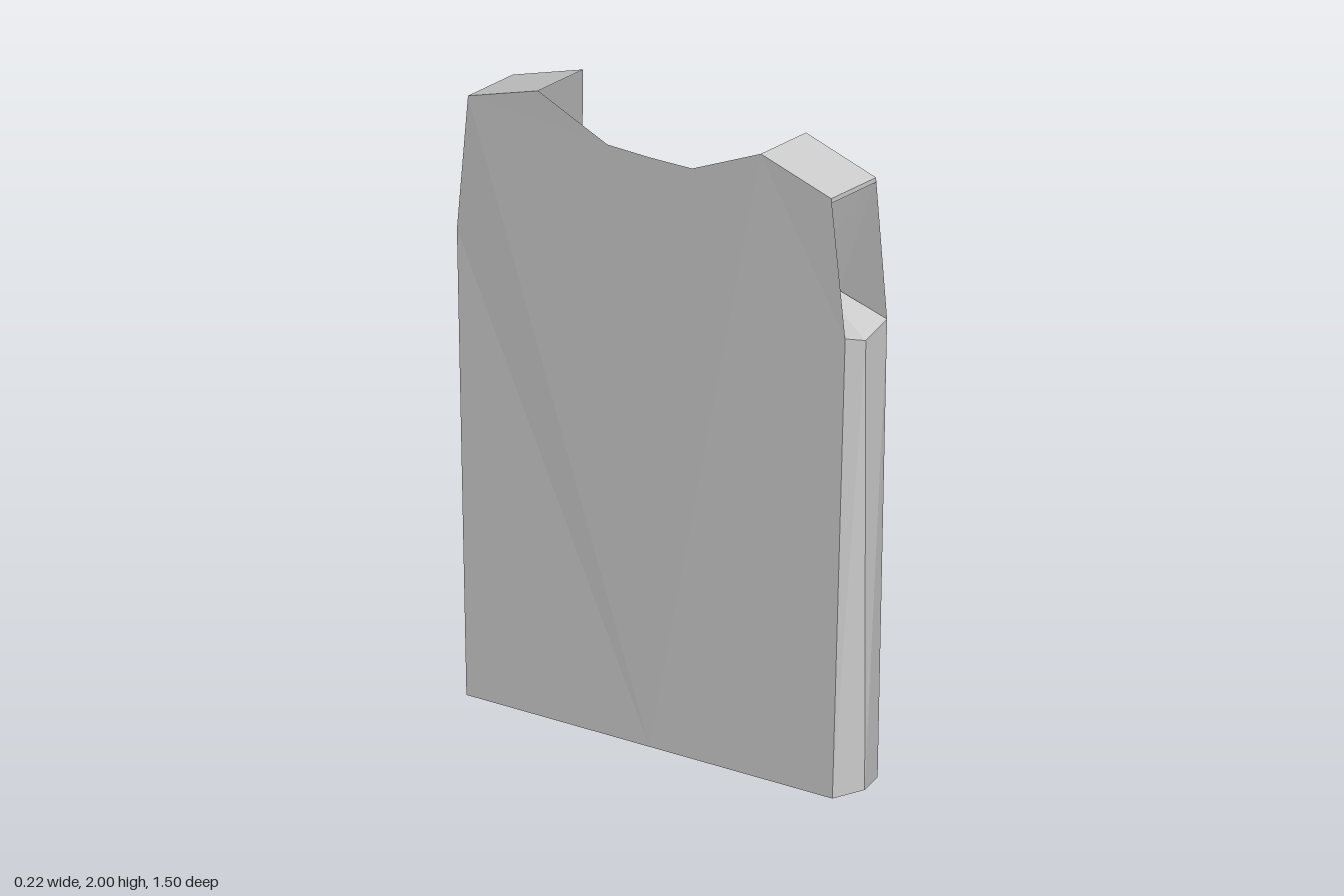
import * as THREE from 'three';

const cloth = new THREE.MeshStandardMaterial({ color: 0xcccccc, side: THREE.DoubleSide, flatShading: true });
cloth.name = 'grey cloth';

// half thickness of the vest at a given height
const halfX = y => (y < 1.48 ? 0.11 - 0.008 * y / 1.48 : 0.102 + 0.008 * (y - 1.48) / 0.52);

function mesh(name, geometry) {
  geometry.computeVertexNormals();
  const m = new THREE.Mesh(geometry, cloth);
  m.name = name;
  return m;
}

// flat-sided surface between two matching rows of points
function loft(name, a, b) {
  const pos = [];
  for (let i = 0; i < a.length - 1; i++) {
    pos.push(...a[i], ...a[i + 1], ...b[i + 1]);
    if (b[i] !== b[i + 1]) pos.push(...a[i], ...b[i + 1], ...b[i]);
  }
  const g = new THREE.BufferGeometry();
  g.setAttribute('position', new THREE.Float32BufferAttribute(pos, 3));
  return mesh(name, g);
}

// a cloth panel, symmetric in z, given by its half outline as [z, y]
function panel(name, half, side) {
  const mirrored = half.filter(p => p[0] > 0).map(([z, y]) => [-z, y]).reverse();
  const shape = new THREE.Shape([...half, ...mirrored].map(p => new THREE.Vector2(...p)));
  const g = new THREE.ShapeGeometry(shape);
  g.rotateY(side * Math.PI / 2);
  const p = g.attributes.position;
  for (let i = 0; i < p.count; i++) p.setX(i, side * halfX(p.getY(i)));
  return mesh(name, g);
}

export function createModel() {
  const group = new THREE.Group();
  group.name = 'vest';

  // large panels: low neckline on +x, high neckline on -x
  const outer = [[0.69, 0], [0.732, 1.48], [0.685, 1.92], [0.42, 2]];
  const lowNeck = [[0.42, 1.565], [0.18, 1.475], [0, 1.43]];
  group.add(panel('lowNeckPanel', [[0, 0], ...outer, ...lowNeck], 1));
  group.add(panel('highNeckPanel', [[0, 0], ...outer, [0.16, 1.89], [0, 1.887]], -1));

  const hem = s => [[-0.11, 0, s * 0.69], [-0.02, 0.012, s * 0.742], [0.11, 0, s * 0.69]];
  group.add(loft('hemFloor', hem(1), hem(-1)));

  for (const s of [1, -1]) {
    // pointed side wall and the cap under the armhole
    const rim = [[-0.102, 1.48, s * 0.732], [-0.025, 1.455, s * 0.75], [0.102, 1.48, s * 0.732]];
    const corner = [0.102, 1.565, s * 0.42];
    group.add(loft('sideWall', hem(s), rim));
    group.add(loft('armholeCap', rim, [corner, corner, corner]));
    group.add(loft('neckCorner', [rim[0], [0, 1.52, s * 0.42]], [corner, corner]));

    // shoulder strap with a narrow turned-down edge
    const inner = [[-0.11, 2, s * 0.42], [0.11, 2, s * 0.42]];
    const end = [[-0.109, 1.92, s * 0.685], [0.109, 1.92, s * 0.685]];
    const turned = end.map(([x, , z]) => [x, 1.905, z]);
    group.add(loft('shoulderStrap', inner, end));
    group.add(loft('strapEdge', end, turned));
  }

  // lip inside the low neckline, and the sloping lining behind it
  const both = half => [...half, ...half.slice(0, -1).map(([z, y]) => [-z, y]).reverse()];
  const edge = both(lowNeck).map(([z, y]) => [0.102, y, z]);
  const lip = both([[0.42, 1.52], [0.18, 1.48], [0, 1.45]]).map(([z, y]) => [0, y, z]);
  group.add(loft('neckLip', edge, lip));
  const liningTop = lip.map(([, y, z]) => [-0.102, y - 0.08, z]);
  group.add(loft('neckLining', liningTop, lip.map(([, y, z]) => [0, y - 0.28, z])));

  return group;
}
